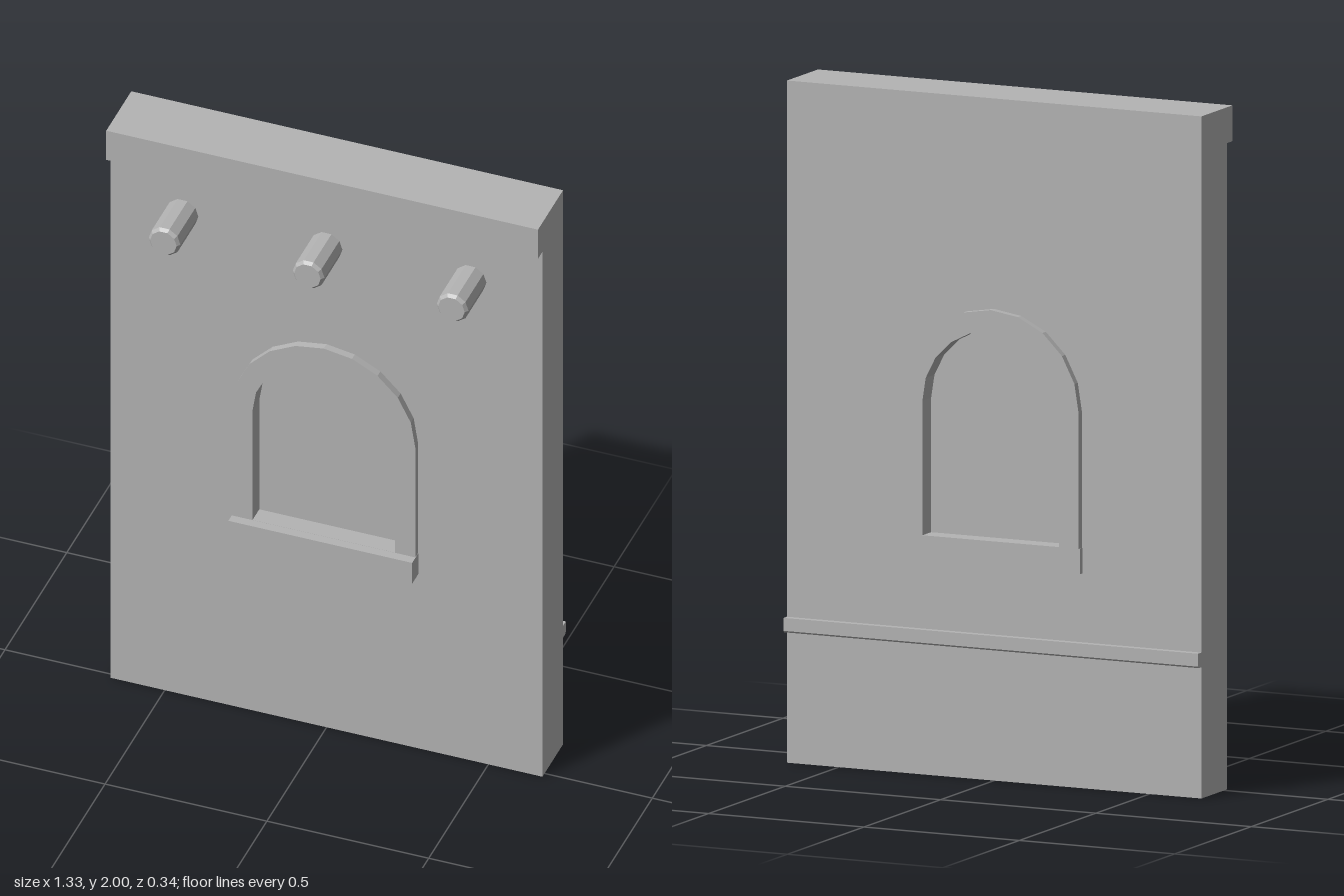
import * as THREE from 'three';

const stone = new THREE.MeshStandardMaterial({ color: 0xb4b4b4 });
stone.name = 'grey stone';

const HALF = 0.667, FRONT = 0.017, BACK = -0.15; // wall slab
const SPRING = 1.1, SILL_TOP = 0.705, SILL_BOTTOM = 0.63;

// Arch outline: straight jambs with a ten-sided semicircle on top
function archPoints(r, bottom) {
  const pts = [new THREE.Vector2(-r, bottom), new THREE.Vector2(r, bottom)];
  for (let i = 0; i <= 10; i++) {
    const a = (i * Math.PI) / 10;
    pts.push(new THREE.Vector2(r * Math.cos(a), SPRING + r * Math.sin(a)));
  }
  return pts;
}

export function createModel() {
  const group = new THREE.Group();

  const add = (name, geometry) => {
    const mesh = new THREE.Mesh(geometry, stone);
    mesh.name = name;
    group.add(mesh);
    return mesh;
  };
  const box = (name, x0, x1, y0, y1, z0, z1) =>
    add(name, new THREE.BoxGeometry(x1 - x0, y1 - y0, z1 - z0))
      .position.set((x0 + x1) / 2, (y0 + y1) / 2, (z0 + z1) / 2);
  const slab = (name, shape, z0, z1) => {
    const g = new THREE.ExtrudeGeometry(shape, { depth: z1 - z0, bevelEnabled: false });
    g.translate(0, 0, z0);
    add(name, g);
  };

  // Wall with the window opening cut through
  const wall = new THREE.Shape([
    new THREE.Vector2(-HALF, 0), new THREE.Vector2(HALF, 0),
    new THREE.Vector2(HALF, 2), new THREE.Vector2(-HALF, 2),
  ]);
  wall.holes.push(new THREE.Path(archPoints(0.282, SILL_BOTTOM + 0.002)));
  slab('wall', wall, BACK, FRONT);

  // Ledge along the top of the front
  box('topLedge', -HALF, HALF, 1.895, 2, FRONT, 0.053);

  // Arched frame, sill and recessed pane
  const frame = new THREE.Shape(archPoints(0.283, SILL_TOP));
  frame.holes.push(new THREE.Path(archPoints(0.22, SILL_TOP + 0.0005)));
  slab('windowFrame', frame, -0.172, 0.04);
  box('windowSill', -0.284, 0.284, SILL_BOTTOM, SILL_TOP, -0.165, 0.068);
  slab('windowPane', new THREE.Shape(archPoints(0.225, SILL_TOP - 0.01)), -0.115, -0.015);

  // Moulding across the back, with a chamfered lower edge
  const strip = new THREE.Shape([
    new THREE.Vector2(0.145, 0.385), new THREE.Vector2(0.167, 0.385),
    new THREE.Vector2(0.172, 0.39), new THREE.Vector2(0.172, 0.428),
    new THREE.Vector2(0.145, 0.428),
  ]);
  const stripGeometry = new THREE.ExtrudeGeometry(strip, { depth: 2 * HALF, bevelEnabled: false });
  stripGeometry.translate(0, 0, -HALF).rotateY(Math.PI);
  // Turn the profile so that its outward direction is -z
  stripGeometry.rotateY(-Math.PI / 2);
  add('backMoulding', stripGeometry);

  // Ten-sided beam ends with chamfered tips
  const profile = [[0.049, 0], [0.049, 0.145], [0.041, 0.155], [0, 0.155]]
    .map(([r, h]) => new THREE.Vector2(r, h));
  const beam = new THREE.LatheGeometry(profile, 10, Math.PI / 2).toNonIndexed();
  beam.computeVertexNormals();
  beam.rotateX(Math.PI / 2);
  for (const x of [-0.445, 0, 0.445]) {
    add('beamEnd', beam).position.set(x, 1.737, FRONT);
  }

  return group;
}
